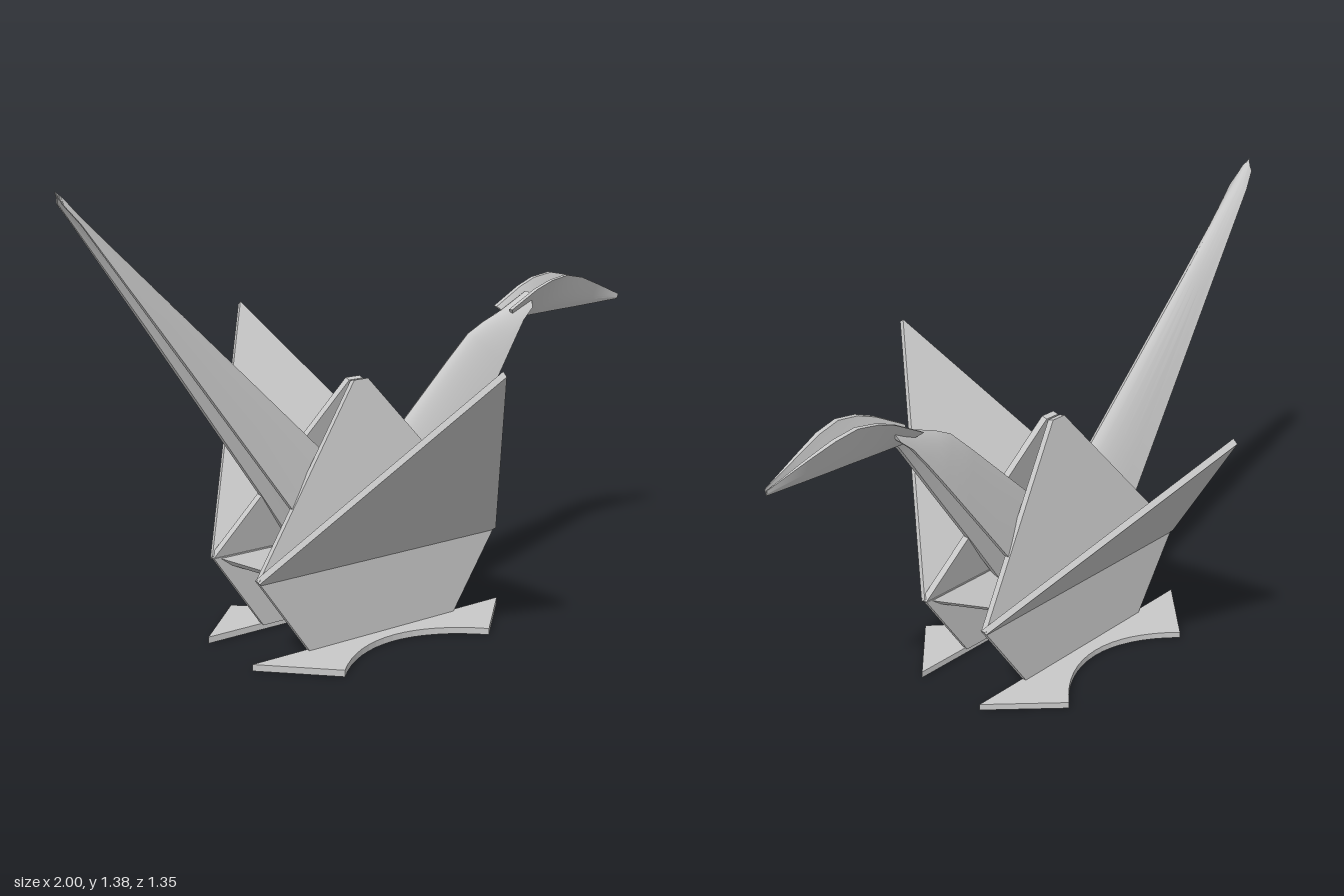
import * as THREE from 'three';
import { toCreasedNormals } from 'three/addons/utils/BufferGeometryUtils.js';
import { ConvexGeometry } from 'three/addons/geometries/ConvexGeometry.js';

const CX = -0.065; // middle of the body along its length

// Flat convex sheet of paper through 3D points, thickened both ways
function slab(points, thickness) {
  const p = points.map((a) => new THREE.Vector3(...a));
  const n = new THREE.Plane().setFromCoplanarPoints(p[0], p[1], p[2]).normal.multiplyScalar(thickness / 2);
  return new ConvexGeometry(p.flatMap((v) => [v.clone().add(n), v.clone().sub(n)]));
}

// Folded sheet: each section is [foldX, foldY, edgeX, edgeY, halfWidth]
function foldedSheet(sections, power, thickness) {
  const N = 14, pos = [], idx = [];
  for (const [rx, ry, ex, ey, w] of sections) {
    const len = Math.hypot(ex - rx, ey - ry) || 1;
    for (const inner of [0, 1]) {
      const t = inner * Math.min(thickness, 0.4 * w, 0.4 * len);
      const ax = rx + ((ex - rx) / len) * t, ay = ry + ((ey - ry) / len) * t;
      for (let i = 0; i <= N; i++) {
        const s = ((inner ? N - i : i) / N) * 2 - 1;
        const f = Math.abs(s) ** power;
        pos.push(ax + (ex - ax) * f, ay + (ey - ay) * f, (w - t) * s);
      }
    }
  }
  const M = 2 * (N + 1), last = (sections.length - 1) * M;
  for (let j = 0; j < sections.length - 1; j++) {
    for (let i = 0; i < M; i++) {
      const a = j * M + i, b = j * M + ((i + 1) % M);
      idx.push(a, b, b + M, a, b + M, a + M);
    }
  }
  for (let i = 0; i < N; i++) {
    const a = i, b = i + 1, c = M - 2 - i, d = M - 1 - i;
    idx.push(a, c, b, a, d, c);
    idx.push(last + a, last + b, last + c, last + a, last + c, last + d);
  }
  const g = new THREE.BufferGeometry();
  g.setAttribute('position', new THREE.Float32BufferAttribute(pos, 3));
  g.setIndex(idx);
  return toCreasedNormals(g, 0.6);
}

export function createModel() {
  const model = new THREE.Group();
  model.name = 'foldedPaperBird';
  const paper = new THREE.MeshStandardMaterial({ color: 0xc8c8c8, side: THREE.DoubleSide });
  paper.name = 'greyPaper';
  const add = (name, geometry) => {
    const mesh = new THREE.Mesh(geometry, paper);
    mesh.name = name;
    model.add(mesh);
    return mesh;
  };

  // Tail: long tapering channel, open underneath
  add('tail', foldedSheet([
    [0.15, 0.23, -0.07, 0.015, 0.13],
    [-0.2, 0.58, -0.355, 0.44, 0.092],
    [-0.68, 1.06, -0.74, 1.0, 0.055],
    [-0.93, 1.31, -0.945, 1.295, 0.035],
    [-0.98, 1.365, -0.985, 1.345, 0.022],
    [-1.0, 1.38, -0.99, 1.36, 0.006],
  ], 1.7, 0.02));

  // Neck: crosses the tail inside the body and bends over at the top
  add('neck', foldedSheet([
    [-0.28, 0.23, -0.07, 0.015, 0.13],
    [0.07, 0.58, 0.225, 0.44, 0.092],
    [0.28, 0.785, 0.38, 0.66, 0.075],
    [0.36, 0.86, 0.45, 0.76, 0.066],
    [0.42, 0.89, 0.5, 0.83, 0.058],
    [0.5, 0.92, 0.545, 0.89, 0.05],
    [0.6, 0.97, 0.585, 0.925, 0.045],
  ], 1.7, 0.02));

  // Head: keel below, sides spread open at the top
  add('head', foldedSheet([
    [0.54, 0.888, 0.5, 0.925, 0.045],
    [0.59, 0.89, 0.6, 0.98, 0.048],
    [0.65, 0.892, 0.66, 1.003, 0.05],
    [0.73, 0.895, 0.73, 1.014, 0.047],
    [0.8, 0.897, 0.8, 1.0, 0.04],
    [0.88, 0.9, 0.88, 0.97, 0.026],
    [1.0, 0.905, 1.0, 0.922, 0.006],
  ], 1.1, 0.015));

  for (const s of [1, -1]) {
    const side = s > 0 ? 'front' : 'back';

    // Body: sloping upper panel to the hump, near upright lower panel
    add(side + 'UpperBodyPanel', slab([
      [CX - 0.435, 0.265, 0.127 * s], [CX + 0.435, 0.265, 0.127 * s],
      [CX + 0.025, 0.772, 0.013 * s], [CX - 0.025, 0.772, 0.013 * s],
    ], 0.02));
    add(side + 'LowerBodyPanel', slab([
      [CX - 0.435, 0.265, 0.123 * s], [CX + 0.435, 0.265, 0.123 * s],
      [CX + 0.265, 0.015, 0.129 * s], [CX - 0.265, 0.015, 0.129 * s],
    ], 0.018));

    // Wing: kite shaped sheet whose short point tucks inside the body
    add(side + 'Wing', slab([
      [CX - 0.435, 0.265, 0.13 * s], [CX, 0.905, 0.668 * s],
      [CX + 0.435, 0.265, 0.13 * s], [CX, 0.074, -0.031 * s],
    ], 0.019));

    // Foot: flat flap with a hollow outer edge
    const outline = new THREE.Shape();
    outline.moveTo(CX - 0.455, 0.125);
    outline.lineTo(CX + 0.455, 0.125);
    outline.lineTo(CX + 0.265, 0.313);
    outline.bezierCurveTo(CX + 0.1, 0.14, CX - 0.1, 0.14, CX - 0.265, 0.313);
    outline.closePath();
    const flap = new THREE.ExtrudeGeometry(outline, { depth: 0.02, bevelEnabled: false, curveSegments: 16 });
    flap.rotateX(s * Math.PI / 2);
    if (s > 0) flap.translate(0, 0.02, 0);
    add(side + 'Foot', flap);
  }
  return model;
}
